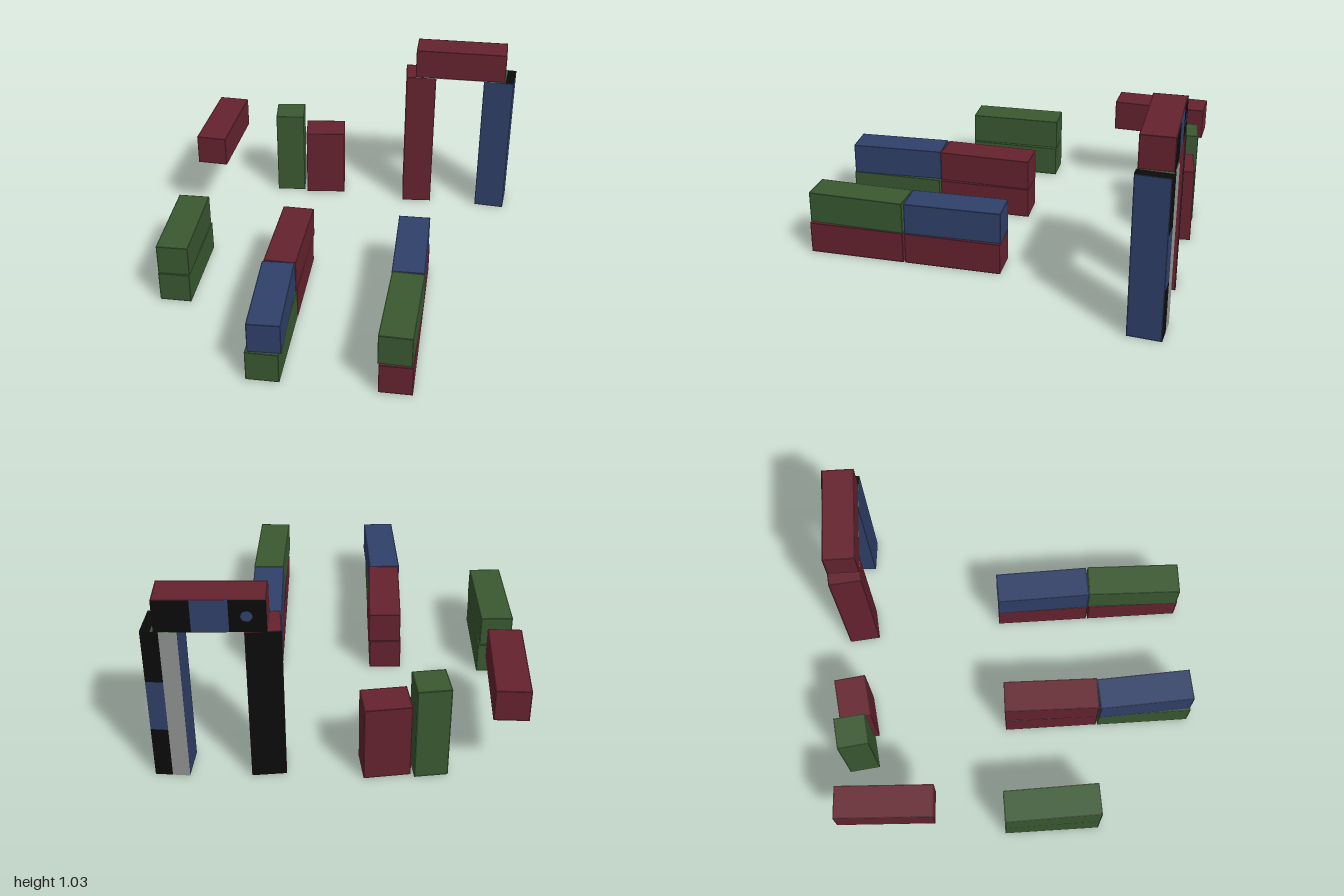
import * as THREE from 'three';

const mat = (name, color) => Object.assign(new THREE.MeshStandardMaterial({ color }), { name });
const COLORS = {
  red: [mat('red paint', 0x65232f), mat('dark red frame', 0x42151d)],
  green: [mat('green paint', 0x3a5931), mat('dark green frame', 0x243a1e)],
  blue: [mat('blue paint', 0x304069), mat('dark blue frame', 0x1d2845)],
};
const black = mat('black panel', 0x0b0b0b);
const grey = mat('grey panel', 0x929494);

// Adds one named box to a parent
function box(parent, name, material, size, pos = [0, 0, 0]) {
  const m = new THREE.Mesh(new THREE.BoxGeometry(...size), material);
  m.position.set(...pos);
  m.name = name;
  parent.add(m);
  return m;
}

// Container: painted body with slim dark rails along all twelve edges
function container(parent, name, color, size, pos, turn = 0) {
  const g = new THREE.Group();
  g.name = name;
  g.position.set(...pos);
  g.rotation.y = turn;
  parent.add(g);
  const [paint, frame] = COLORS[color];
  const t = 0.006;
  box(g, 'body', paint, size.map((s) => s - 0.002));
  for (let axis = 0; axis < 3; axis++) {
    const b = (axis + 1) % 3, c = (axis + 2) % 3;
    for (const i of [-1, 1]) for (const j of [-1, 1]) {
      const s = [t, t, t], p = [0, 0, 0];
      s[axis] = size[axis];
      p[b] = i * (size[b] - t) / 2;
      p[c] = j * (size[c] - t) / 2;
      box(g, 'edgeRail', frame, s, p);
    }
  }
  return g;
}

export function createModel() {
  const root = new THREE.Group();
  root.name = 'containerYard';
  const W = 0.174, H = 0.174, L = 0.525;
  const low = 0.09, high = 0.268;

  // Lying containers: name, colour, x, y, z, turn, black underside
  const lying = [
    ['leftStackLower', 'green', -0.845, low, 0.16, 0, true],
    ['leftStackUpper', 'green', -0.847, high, 0.16, 0.02, false],
    ['middleBackLower', 'red', -0.24, low, 0.2, 0, false],
    ['middleBackUpper', 'red', -0.24, high, 0.198, -0.02, false],
    ['middleFrontLower', 'green', -0.242, low, 0.734, 0, false],
    ['middleFrontUpper', 'blue', -0.24, high, 0.728, 0.045, false],
    ['rightBackLower', 'red', 0.428, low, 0.2, 0, true],
    ['rightBackUpper', 'blue', 0.428, high, 0.198, 0.02, false],
    ['rightFrontLower', 'red', 0.428, low, 0.734, 0, true],
    ['rightFrontUpper', 'green', 0.428, high, 0.728, -0.028, false],
    ['raisedContainer', 'red', -0.82, 0.445, -0.732, -0.045, false],
  ];
  for (const [name, color, x, y, z, turn, dark] of lying) {
    const g = container(root, name, color, [W, H, L], [x, y, z], turn);
    if (dark) box(g, 'underside', black, [W - 0.004, 0.004, L - 0.004], [0, -H / 2, 0]);
  }

  // Upright containers
  container(root, 'uprightGreen', 'green', [0.17, 0.525, 0.17], [-0.427, 0.2625, -0.897], 0.115);
  container(root, 'uprightRed', 'red', [0.237, 0.42, 0.172], [-0.207, 0.21, -0.9], 0.125);

  // Gate posts, with dark backs
  const PH = 0.858, back = -W / 2;
  const redPost = container(root, 'gatePostRed', 'red', [W, PH, W], [0.376, PH / 2, -0.88], 0.09);
  box(redPost, 'backPanel', black, [W - 0.002, PH - 0.002, 0.004], [0, 0, back]);

  const bluePost = container(root, 'gatePostBlue', 'blue', [W, PH, W], [0.844, PH / 2, -0.88], -0.08);
  box(bluePost, 'greyBackPanel', grey, [W / 2, PH, 0.004], [-W / 4, 0, back]);
  [black, COLORS.blue[0], black].forEach((m, i) =>
    box(bluePost, 'backPanel', m, [W / 2, PH / 3, 0.004], [W / 4, (i - 1) * PH / 3, back]));
  box(bluePost, 'topPanel', COLORS.green[0], [W * 0.72, 0.004, W], [-W * 0.14, PH / 2, 0]);
  box(bluePost, 'topDarkPanel', black, [W * 0.28, 0.004, W], [W * 0.36, PH / 2, 0]);
  box(bluePost, 'underside', COLORS.red[0], [W - 0.002, 0.004, W - 0.002], [0, -PH / 2 + 0.001, 0]);

  // Gate beam, with banded back and split underside
  const beam = container(root, 'gateBeam', 'red', [L, 0.172, 0.17], [0.611, 0.944, -0.88]);
  [black, COLORS.blue[0], black].forEach((m, i) =>
    box(beam, 'backPanel', m, [L / 3, 0.172, 0.004], [(i - 1) * L / 3, 0, -0.085]));
  box(beam, 'undersideGrey', grey, [L - 0.004, 0.004, 0.085], [0, -0.086, 0.0425]);
  box(beam, 'undersideBlack', black, [L - 0.004, 0.004, 0.085], [0, -0.086, -0.0425]);
  const spot = new THREE.Mesh(new THREE.CircleGeometry(0.028, 20), COLORS.blue[0]);
  spot.name = 'backSpot';
  spot.rotation.y = Math.PI;
  spot.position.set(-0.17, 0, -0.088);
  beam.add(spot);

  return root;
}
